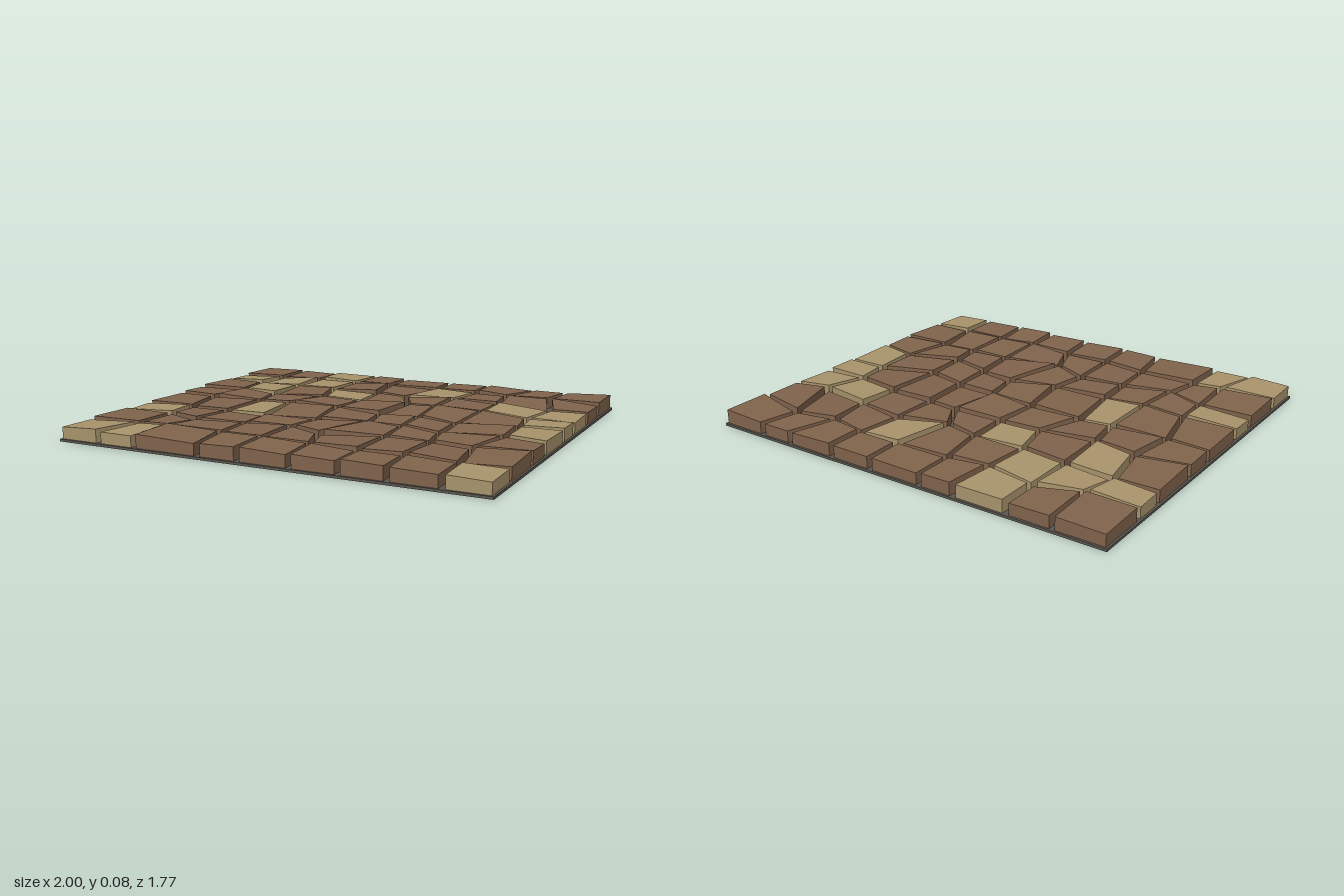
import * as THREE from 'three';

const HALF_DEPTH = 0.885, SLAB = 0.011, COLS = 9, ROWS = 8;

// Joints between the stones, one line per row from back to front: x and z in hundredths.
const jointX = [
  [-100, -76, -55, -29.5, -12.5, 13.5, 35, 60, 76.5, 100],
  [-100, -75.5, -55.5, -32, -13, 13.5, 34.5, 52.5, 73, 100],
  [-100, -79, -56, -34, -9.5, 7.5, 31, 55, 82.5, 100],
  [-100, -75.5, -55, -29.5, -8.5, 16, 30.5, 54, 77.5, 100],
  [-100, -79.5, -52.5, -37.5, -11, 13, 32.5, 53, 79.5, 100],
  [-100, -74, -53, -33.5, -7, 16, 33.5, 54, 80.5, 100],
  [-100, -74, -56, -32.5, -10.5, 7, 35.5, 56.5, 75, 100],
  [-100, -73.5, -60, -31.5, -10, 13, 36, 55.5, 79, 100],
  [-100, -79.5, -60.5, -28, -9, 15, 36.5, 57.5, 79.5, 100],
];
const jointZ = [
  Array(10).fill(-88.5),
  [-63, -63, -70, -66, -69, -69.5, -69.5, -66, -69.5, -63],
  [-47.5, -47, -46, -44.5, -45.5, -41.5, -49, -45.5, -39.5, -43],
  [-20, -24, -20, -25, -25, -26.5, -26, -25, -20, -20.5],
  [-3, -1.5, -2.5, -4.5, -4, -0.5, -1, 5, -3.5, -4],
  [25, 24.5, 26.5, 25, 23.5, 17.5, 20, 26, 18.5, 23],
  [41, 41.5, 48.5, 43.5, 40.5, 48.5, 42, 42, 42.5, 40.5],
  [68, 66, 64, 64, 66, 66, 68.5, 66.5, 68, 67],
  Array(10).fill(88.5),
];
// Columns holding a pale stone, for each row
const paleColumns = [[2], [0, 1, 2, 5], [1, 3, 7, 8], [8], [2, 8], [0], [], [0, 1, 8]];

const stoneMaterial = new THREE.MeshStandardMaterial({ color: 0x80634c, flatShading: true });
const paleMaterial = new THREE.MeshStandardMaterial({ color: 0xa8946c, flatShading: true });
const slabMaterial = new THREE.MeshStandardMaterial({ color: 0x5a564f, flatShading: true });

// Small seeded generator, -1 to 1
function seeded(seed) {
  let s = seed;
  return () => {
    s = (s * 16807) % 2147483647;
    return (s / 2147483647) * 2 - 1;
  };
}

// Shrink a four-sided outline by moving each edge inwards by its own width
function insetQuad(points, widths) {
  const normals = points.map((p, i) => {
    const q = points[(i + 1) % 4];
    const d = q.clone().sub(p).normalize();
    return new THREE.Vector2(-d.y, d.x);
  });
  return points.map((p, i) => {
    const h = (i + 3) % 4;
    const n = normals[h], m = normals[i], v = widths[h], w = widths[i];
    const det = n.x * m.y - n.y * m.x;
    return new THREE.Vector2(p.x + (v * m.y - w * n.y) / det, p.y + (n.x * w - m.x * v) / det);
  });
}

// A box whose corners are moved onto the outline, with a tilted top
function stoneGeometry(outline, height, tiltX, tiltZ) {
  const geometry = new THREE.BoxGeometry(1, 1, 1);
  const position = geometry.attributes.position;
  const centre = outline.reduce((sum, p) => sum.add(p), new THREE.Vector2()).multiplyScalar(0.25);
  for (let i = 0; i < position.count; i++) {
    const right = position.getX(i) > 0, front = position.getZ(i) > 0;
    const p = outline[front ? (right ? 2 : 3) : (right ? 1 : 0)];
    const top = height + (p.x - centre.x) * tiltX + (p.y - centre.y) * tiltZ;
    position.setXYZ(i, p.x, position.getY(i) > 0 ? top : SLAB * 0.8, p.y);
  }
  geometry.computeVertexNormals();
  return geometry;
}

export function createModel() {
  const group = new THREE.Group();
  group.name = 'cobblestoneFloor';

  // Mortar bed
  const slab = new THREE.Mesh(new THREE.BoxGeometry(2, SLAB, HALF_DEPTH * 2), slabMaterial);
  slab.name = 'mortarBed';
  slab.position.y = SLAB / 2;
  group.add(slab);

  // Stones
  const random = seeded(4711);
  const joint = (c, r) => new THREE.Vector2(jointX[r][c] / 100, jointZ[r][c] / 100);
  for (let r = 0; r < ROWS; r++) {
    for (let c = 0; c < COLS; c++) {
      const corners = [joint(c, r), joint(c + 1, r), joint(c + 1, r + 1), joint(c, r + 1)];
      const gap = (atRim) => (atRim ? 0.01 : 0.014 + random() * 0.002);
      const widths = [gap(r === 0), gap(c === COLS - 1), gap(r === ROWS - 1), gap(c === 0)];
      const height = 0.069 + random() * 0.004;
      const geometry = stoneGeometry(insetQuad(corners, widths), height, random() * 0.05, random() * 0.04);
      const pale = paleColumns[r].includes(c);
      const stone = new THREE.Mesh(geometry, pale ? paleMaterial : stoneMaterial);
      stone.name = pale ? 'paleStone' : 'brownStone';
      group.add(stone);
    }
  }
  return group;
}
